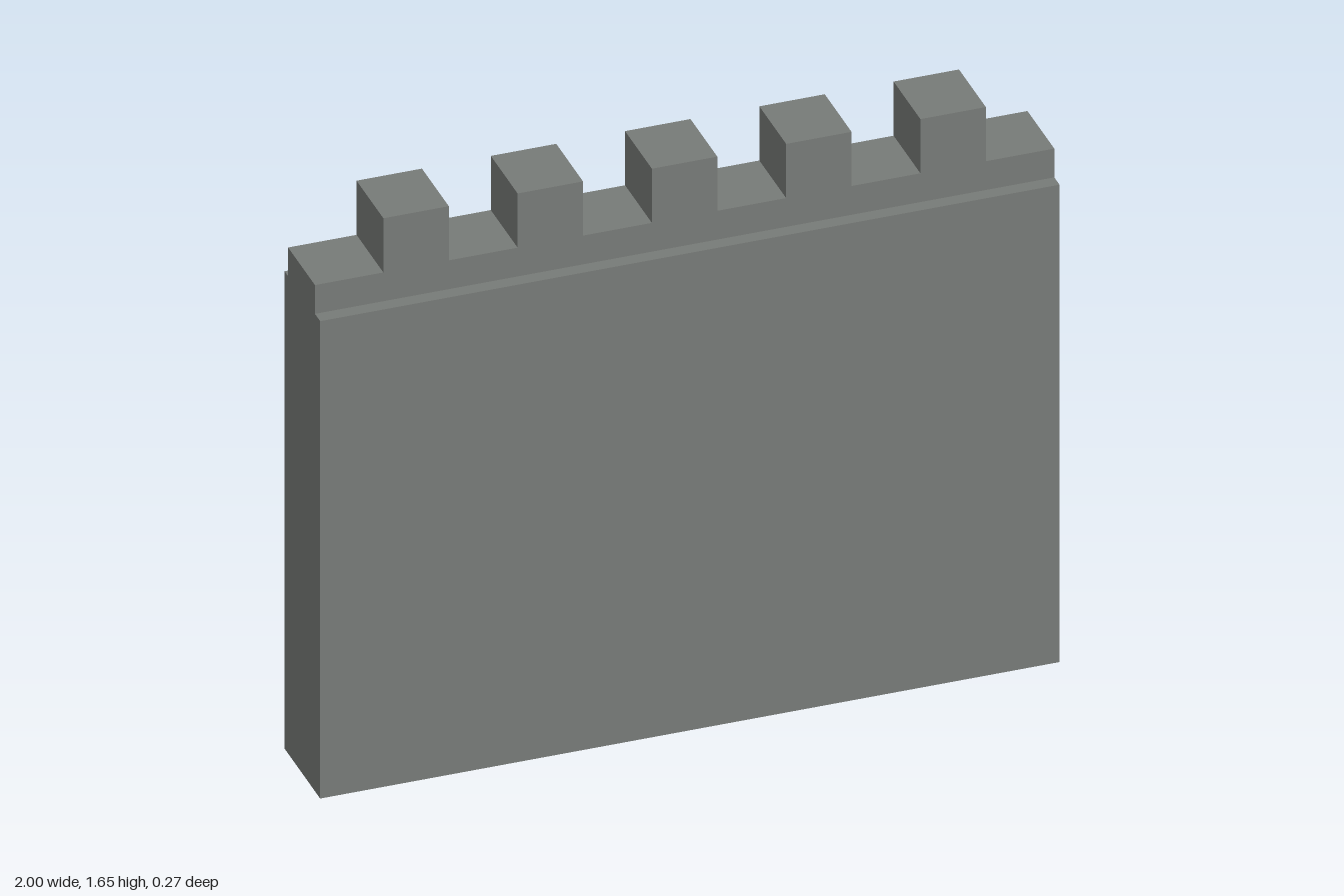
import * as THREE from 'three';

export function createModel() {
  const group = new THREE.Group();
  group.name = 'castleWall';
  const stone = new THREE.MeshStandardMaterial({ color: 0x777b78 });
  stone.name = 'grey stone';

  const wallTop = 1.41, walkTop = 1.495, merlonTop = 1.655;

  // Thick main wall
  const wall = new THREE.Mesh(new THREE.BoxGeometry(2, wallTop, 0.266), stone);
  wall.name = 'wall';
  wall.position.y = wallTop / 2;
  group.add(wall);

  // Narrower parapet with five merlons, set slightly towards the back
  const pitch = 0.3632, half = 0.0885;
  const outline = new THREE.Shape();
  outline.moveTo(-1, wallTop);
  outline.lineTo(1, wallTop);
  outline.lineTo(1, walkTop);
  for (let i = 2; i >= -2; i--) {
    const x = i * pitch;
    outline.lineTo(x + half, walkTop);
    outline.lineTo(x + half, merlonTop);
    outline.lineTo(x - half, merlonTop);
    outline.lineTo(x - half, walkTop);
  }
  outline.lineTo(-1, walkTop);
  outline.closePath();
  const parapet = new THREE.Mesh(
    new THREE.ExtrudeGeometry(outline, { depth: 0.2, bevelEnabled: false }), stone);
  parapet.name = 'crenellatedParapet';
  parapet.position.z = -0.106;
  group.add(parapet);

  return group;
}
